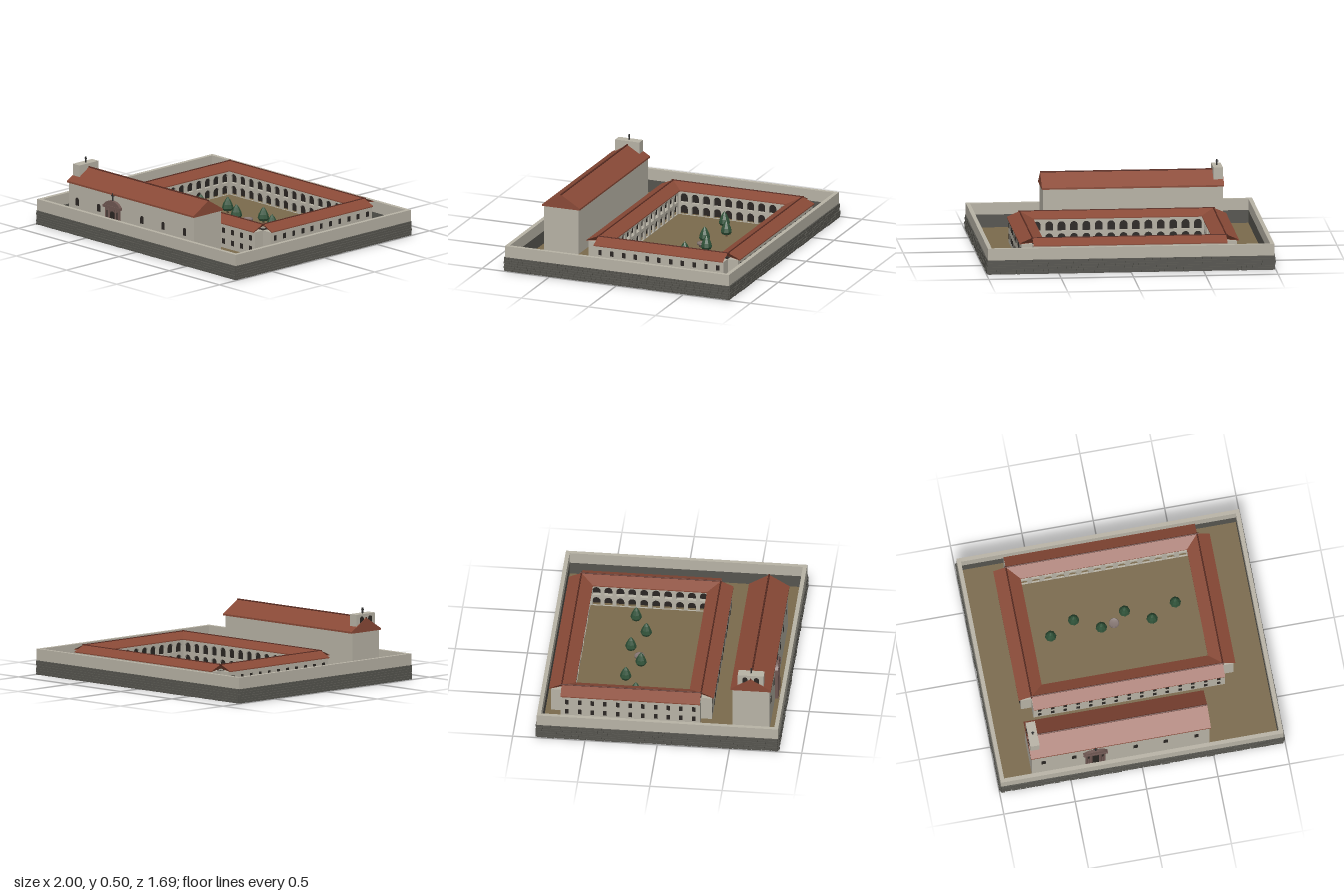
import * as THREE from 'three';
import { mergeGeometries } from 'three/addons/utils/BufferGeometryUtils.js';

const mat = (color, extra = {}) => new THREE.MeshStandardMaterial({ color, ...extra });
const M = {
  plaster: mat(0xb8b3a6), stone: mat(0x56554f), tile: mat(0x8a4a37), ridge: mat(0x5a2c22),
  earth: mat(0x7a6a4c), dark: mat(0x2a2623), porch: mat(0x705853), iron: mat(0x333333),
  leaf: mat(0x2f5138, { flatShading: true }), trunk: mat(0x5a4330), basin: mat(0x857672),
};

function add(parent, name, geo, material, x = 0, y = 0, z = 0) {
  const m = new THREE.Mesh(geo, material);
  m.name = name;
  m.position.set(x, y, z);
  parent.add(m);
  return m;
}
// box given by its limits
function box(parent, name, material, x0, x1, y0, y1, z0, z1) {
  return add(parent, name, new THREE.BoxGeometry(x1 - x0, y1 - y0, z1 - z0), material,
    (x0 + x1) / 2, (y0 + y1) / 2, (z0 + z1) / 2);
}
function group(parent, name, x = 0, y = 0, z = 0) {
  const g = new THREE.Group();
  g.name = name;
  g.position.set(x, y, z);
  parent.add(g);
  return g;
}
// round-headed outline, used for openings and holes
function arch(x, y, w, h, Type = THREE.Shape) {
  const s = new Type(), r = w / 2;
  s.moveTo(x - r, y);
  s.lineTo(x + r, y);
  s.lineTo(x + r, y + h - r);
  s.absarc(x, y + h - r, r, 0, Math.PI, false);
  s.lineTo(x - r, y);
  return s;
}
const extrude = (shape, depth) =>
  new THREE.ExtrudeGeometry(shape, { depth, bevelEnabled: false, curveSegments: 6 });

// gable roof along x; the inner (-z) eave is shortened by `mitre` at both ends
function gableRoof(half, span, eave, ridge, lip, mitre = 0) {
  const s = new THREE.Shape();
  [[-span, eave - lip], [span, eave - lip], [span, eave], [0, ridge], [-span, eave]]
    .forEach(([a, b], i) => (i ? s.lineTo(a, b) : s.moveTo(a, b)));
  const g = extrude(s, 2 * half);
  g.translate(0, 0, -half);
  g.rotateY(-Math.PI / 2);
  const p = g.attributes.position;
  for (let i = 0; i < p.count; i++) {
    // section x becomes z after the turn
    if (p.getZ(i) < -span / 2) p.setX(i, p.getX(i) - Math.sign(p.getX(i)) * mitre);
  }
  g.computeVertexNormals();
  return g;
}

function cross(parent, name, x, y, z, h) {
  const g = group(parent, name, x, y, z);
  box(g, 'crossPost', M.iron, -0.004, 0.004, 0, h, -0.004, 0.004);
  box(g, 'crossArm', M.iron, -h * 0.25, h * 0.25, h * 0.62, h * 0.75, -0.004, 0.004);
}

// perimeter wall: masonry base with projecting stones, plaster above
function perimeter(root) {
  const g = group(root, 'perimeterWall');
  let seed = 7;
  const rnd = () => (seed = (seed * 16807) % 2147483647) / 2147483647;
  const stones = [], X = 0.99, Z = 0.835, T = 0.028, rows = 6, rh = 0.1 / rows;
  for (let side = 0; side < 4; side++) {
    const half = side % 2 ? Z : X, d = side % 2 ? X : Z;
    const s = group(g, 'wallSide');
    s.rotation.y = side * Math.PI / 2;
    box(s, 'wallBase', M.stone, -half, half, 0, 0.1, d - T, d - 0.003);
    box(s, 'wallTop', M.plaster, -half, half, 0.1, 0.18, d - T, d);
    for (let r = 0; r < rows; r++) {
      for (let x = -half; x < half - 0.001;) {
        let w = 0.03 + rnd() * 0.045;
        if (half - x - w < 0.03) w = half - x;
        const depth = 0.009 + rnd() * 0.006;
        const b = new THREE.BoxGeometry(w - 0.004, rh - 0.003, depth);
        b.translate(x + w / 2, (r + 0.5) * rh, d - 0.005 + depth / 2);
        stones.push(b.rotateY(side * Math.PI / 2));
        x += w;
      }
    }
  }
  add(g, 'masonryStones', mergeGeometries(stones), M.stone);
}

// one cloister wing, outward side facing +z, ridge above z = 0
function wing(parent, half, dist, turn) {
  const pivot = group(parent, 'cloisterWing');
  pivot.rotation.y = turn;
  const g = group(pivot, 'wingParts', 0, 0, dist);
  box(g, 'outerWall', M.plaster, -half, half, 0, 0.182, 0, 0.075);
  box(g, 'galleryBack', M.dark, -half, half, 0, 0.18, -0.035, 0);
  const inner = half - 0.07;
  box(g, 'galleryFloor', M.plaster, -inner, inner, 0.083, 0.093, -0.06, -0.03);

  // two tiers of arches facing the courtyard
  const wall = new THREE.Shape();
  wall.moveTo(-inner, 0);
  wall.lineTo(inner, 0);
  wall.lineTo(inner, 0.18);
  wall.lineTo(-inner, 0.18);
  const n = Math.round(2 * inner / 0.085), step = 2 * inner / n;
  for (let i = 0; i < n; i++) {
    const x = -inner + (i + 0.5) * step;
    wall.holes.push(arch(x, 0.011, 0.054, 0.068, THREE.Path));
    wall.holes.push(arch(x, 0.097, 0.054, 0.066, THREE.Path));
  }
  add(g, 'arcade', extrude(wall, 0.012), M.plaster, 0, 0, -0.07);

  // two rows of small windows on the outside
  const count = Math.round(2 * half / 0.088), gap = 2 * half / count;
  const panes = [];
  for (let i = 0; i < count; i++) {
    for (const y of [0.058, 0.135]) {
      panes.push(new THREE.BoxGeometry(0.024, 0.036, 0.004)
        .translate(-half + (i + 0.5) * gap, y, 0.076));
    }
  }
  add(g, 'outerWindows', mergeGeometries(panes), M.dark);

  add(g, 'wingRoof', gableRoof(half, 0.088, 0.188, 0.226, 0.007, 0.088), M.tile);
  const cap = new THREE.CylinderGeometry(0.005, 0.005, 2 * half + 0.02, 6).rotateZ(Math.PI / 2);
  add(g, 'wingRidge', cap, M.ridge, 0, 0.225, 0);
}

function church(root) {
  const g = group(root, 'church', -0.135, 0, 0.622);
  box(g, 'churchWalls', M.plaster, -0.622, 0.622, 0, 0.335, -0.127, 0.13);
  add(g, 'churchRoof', gableRoof(0.63, 0.14, 0.342, 0.428, 0.012), M.tile);
  add(g, 'churchRidge', new THREE.CylinderGeometry(0.006, 0.006, 1.262, 6).rotateZ(Math.PI / 2),
    M.ridge, 0, 0.428, 0);
  for (const x of [-0.675, -0.46, -0.03, 0.18, 0.395]) {
    add(g, 'churchWindow', extrude(arch(0, 0, 0.03, 0.055), 0.004), M.dark, x + 0.135, 0.182, 0.129);
  }

  // bell gable at the west end
  box(g, 'bellGable', M.plaster, -0.625, -0.56, 0.32, 0.455, -0.09, 0.09);
  for (const z of [-0.04, 0.04]) {
    const o = add(g, 'bellOpening', extrude(arch(0, 0, 0.035, 0.06), 0.004), M.dark, -0.624, 0.38, z);
    o.rotation.y = -Math.PI / 2;
  }
  cross(g, 'bellCross', -0.592, 0.455, 0, 0.04);

  // doorway with columns and a curved pediment
  const p = group(g, 'porch', -0.178, 0, 0.13);
  box(p, 'porchBody', M.porch, -0.068, 0.068, 0, 0.25, -0.002, 0.012);
  add(p, 'door', extrude(arch(0, 0, 0.046, 0.215), 0.003), M.dark, 0, 0, 0.011);
  for (const x of [-0.062, -0.036, 0.036, 0.062]) {
    add(p, 'porchColumn', new THREE.CylinderGeometry(0.006, 0.007, 0.235, 10), M.porch, x, 0.1175, 0.016);
  }
  for (const x of [-0.049, 0.049]) {
    add(p, 'niche', extrude(arch(0, 0, 0.014, 0.055), 0.002), M.dark, x, 0.16, 0.0115);
  }
  box(p, 'entablature', M.porch, -0.085, 0.085, 0.235, 0.253, -0.002, 0.026);
  const ped = new THREE.Shape();
  ped.moveTo(-0.08, 0);
  ped.lineTo(0.08, 0);
  ped.quadraticCurveTo(0.055, 0.038, 0, 0.038);
  ped.quadraticCurveTo(-0.055, 0.038, -0.08, 0);
  add(p, 'pediment', extrude(ped, 0.024), M.porch, 0, 0.252, -0.002);
  cross(p, 'porchCross', 0, 0.288, 0.01, 0.055);
}

function courtyard(root) {
  const g = group(root, 'courtyard');
  const crown = [[0, 0.02], [0.03, 0.02], [0.04, 0.038], [0.033, 0.065], [0.018, 0.095], [0, 0.118]]
    .map(([r, y]) => new THREE.Vector2(r, y));
  [-0.447, -0.27, -0.092, 0.086, 0.264, 0.442].forEach((x, i) => {
    const t = group(g, 'tree', x, 0.008, i % 2 && i !== 3 ? -0.293 : -0.205);
    if (i === 2 || i === 4) t.position.z = -0.205;
    if (i === 3) t.position.z = -0.293;
    add(t, 'crown', new THREE.LatheGeometry(crown, 8), M.leaf);
    add(t, 'trunk', new THREE.CylinderGeometry(0.006, 0.008, 0.03, 6), M.trunk, 0, 0.012, 0);
  });
  const bowl = [[0, 0], [0.024, 0], [0.02, 0.01], [0.036, 0.02], [0.036, 0.03], [0.03, 0.03], [0.028, 0.025], [0, 0.025]]
    .map(([r, y]) => new THREE.Vector2(r, y));
  add(g, 'fountain', new THREE.LatheGeometry(bowl, 20), M.basin, 0, 0.008, -0.225);
}

export function createModel() {
  const root = new THREE.Group();
  root.name = 'walledCloister';
  box(root, 'ground', M.earth, -0.975, 0.975, 0.001, 0.01, -0.82, 0.82);
  perimeter(root);
  const c = group(root, 'cloister', 0, 0, -0.2125);
  for (let i = 0; i < 4; i++) {
    const [half, dist] = i % 2 ? [0.4825, 0.67] : [0.67, 0.4825];
    wing(c, half, dist, i * Math.PI / 2);
  }
  church(root);
  courtyard(root);
  return root;
}
